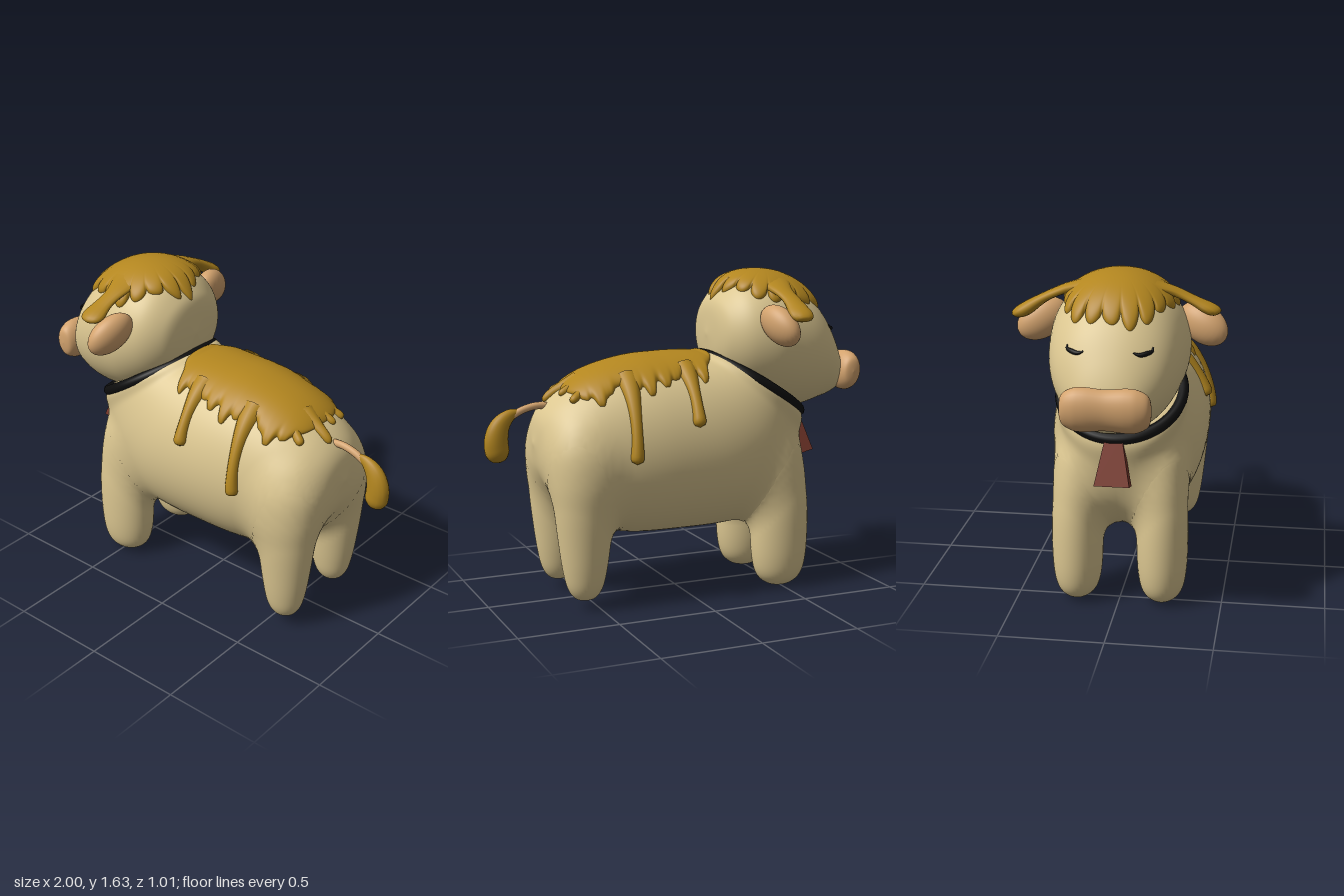
import * as THREE from 'three';
import { mergeVertices } from 'three/addons/utils/BufferGeometryUtils.js';

const material = (name, color) => Object.assign(new THREE.MeshStandardMaterial({ color }), { name });
const V = (x, y, z = 0) => new THREE.Vector3(x, y, z);

// Closed or open sheet from fn(u, v), smooth across its seams
function sheet(fn, nu, nv) {
  const pos = [], idx = [];
  for (let i = 0; i <= nu; i++) for (let j = 0; j <= nv; j++) pos.push(...fn(i / nu, j / nv).toArray());
  for (let i = 0; i < nu; i++) for (let j = 0; j < nv; j++) {
    const a = i * (nv + 1) + j, b = a + nv + 1;
    idx.push(a, a + 1, b, b, a + 1, b + 1);
  }
  let g = new THREE.BufferGeometry();
  g.setAttribute('position', new THREE.Float32BufferAttribute(pos, 3));
  g.setIndex(idx);
  g = mergeVertices(g, 1e-4);
  g.computeVertexNormals();
  return g;
}

// Loft through elliptical sections: [topX, topY, bottomX, bottomY, halfWidth]
function makeLoft(sections, power) {
  const curve = (f) => new THREE.CatmullRomCurve3(sections.map(f), false, 'catmullrom', 0.5);
  const top = curve((s) => V(s[0], s[1])), bottom = curve((s) => V(s[2], s[3])), width = curve((s) => V(s[4], 0));
  const at = (u, t) => {
    const a = top.getPoint(u), b = bottom.getPoint(u), s = Math.sin(t);
    const p = a.clone().add(b).multiplyScalar(0.5).addScaledVector(a.sub(b), Math.cos(t) / 2);
    p.z = Math.max(0, width.getPoint(u).x) * Math.sign(s) * Math.abs(s) ** power;
    return p;
  };
  // Surface point at a given x and angle from the top
  const atX = (x, t) => {
    let lo = 0, hi = 1;
    for (let i = 0; i < 22; i++) {
      const m = (lo + hi) / 2;
      if (at(m, t).x < x) lo = m; else hi = m;
    }
    return at(lo, t);
  };
  // The same, lifted off the surface
  const lifted = (x, t, d) => {
    const e = 0.01, p = atX(x, t);
    const du = atX(x + e, t).sub(atX(x - e, t)), dt = atX(x, t + e).sub(atX(x, t - e));
    return p.addScaledVector(dt.cross(du).normalize(), d);
  };
  return { lifted, geometry: sheet((u, v) => at(u, v * Math.PI * 2), 100, 72) };
}

// Swell a surface into its neighbours so that they join with a soft fillet of size k
function fillet(g, others, k) {
  const out = g.clone(), P = g.attributes.position, N = g.attributes.normal;
  const p = V(0, 0), n = V(0, 0), q = V(0, 0), m = V(0, 0);
  for (let i = 0; i < P.count; i++) {
    p.fromBufferAttribute(P, i);
    let w = 0;
    for (const o of others) {
      const a = o.attributes.position.array;
      let best = Infinity, at = 0;
      for (let j = 0; j < a.length; j += 3) {
        const d = (a[j] - p.x) ** 2 + (a[j + 1] - p.y) ** 2 + (a[j + 2] - p.z) ** 2;
        if (d < best) { best = d; at = j / 3; }
      }
      q.fromBufferAttribute(o.attributes.position, at);
      n.fromBufferAttribute(o.attributes.normal, at);
      const near = 1 - Math.max(Math.abs(q.sub(p).dot(n)), Math.sqrt(best) - 0.03) / k;
      if (near > w) { w = near; m.copy(n); }
    }
    if (w <= 0) continue;
    n.fromBufferAttribute(N, i).lerp(m, w / 2);
    p.addScaledVector(n, k / 4 * w * w / Math.max(0.3, n.lengthSq()));
    n.normalize();
    out.attributes.position.setXYZ(i, p.x, p.y, p.z);
    out.attributes.normal.setXYZ(i, n.x, n.y, n.z);
  }
  return out;
}

// Tube with a radius that varies along its length
function taperTube(points, radius, flatY = 1, n = 32, sides = 14) {
  const c = new THREE.CatmullRomCurve3(points);
  const g = new THREE.TubeGeometry(c, n, 1, sides, false), p = g.attributes.position;
  for (let i = 0; i <= n; i++) {
    const o = c.getPointAt(i / n), r = radius(i / n);
    for (let j = 0; j <= sides; j++) {
      const k = i * (sides + 1) + j;
      const d = V(p.getX(k), p.getY(k), p.getZ(k)).sub(o).multiplyScalar(r);
      p.setXYZ(k, o.x + d.x, o.y + d.y * flatY, o.z + d.z);
    }
  }
  g.deleteAttribute('uv');
  g.deleteAttribute('normal');
  const m = mergeVertices(g, 1e-4);
  m.computeVertexNormals();
  return m;
}
const roundEnd = (s, from) => (s < from ? 1 : Math.sqrt(Math.max(0, 1 - ((s - from) / (1 - from)) ** 2)));
const spline = (points) => new THREE.SplineCurve(points.map((p) => new THREE.Vector2(...p))).getPoints(56)
  .map((p) => p.setX(Math.max(0, p.x)));

export function createModel() {
  const group = new THREE.Group();
  group.name = 'animal';
  const cream = material('cream', 0xdcc791), caramel = material('caramel', 0xb3861f);
  caramel.side = THREE.DoubleSide;
  const tan = material('tan', 0xd3a36e), black = material('black', 0x0d0d0d), red = material('dark red', 0x7c3a2d);
  const add = (name, geometry, mat) => {
    const m = new THREE.Mesh(geometry, mat);
    m.name = name;
    group.add(m);
    return m;
  };

  // Torso and head
  const torso = makeLoft([
    [-0.45, 1.08, -0.45, 1.08, 0], [-0.2, 1.215, -0.665, 0.9, 0.28], [-0.1, 1.21, -0.665, 0.74, 0.315],
    [0, 1.21, -0.58, 0.5, 0.355], [0.1, 1.208, -0.35, 0.345, 0.38], [0.25, 1.198, 0.05, 0.32, 0.38],
    [0.42, 1.16, 0.35, 0.34, 0.355], [0.55, 1.105, 0.55, 0.44, 0.315], [0.66, 1.03, 0.67, 0.56, 0.25],
    [0.73, 0.94, 0.735, 0.67, 0.15], [0.757, 0.81, 0.757, 0.81, 0]], 0.9);
  const head = makeLoft([
    [-0.935, 1.09, -0.935, 1.09, 0], [-0.91, 1.19, -0.91, 1.0, 0.11], [-0.86, 1.3, -0.86, 0.967, 0.18],
    [-0.78, 1.43, -0.78, 0.945, 0.25], [-0.68, 1.535, -0.68, 0.92, 0.295], [-0.56, 1.595, -0.56, 0.92, 0.32],
    [-0.43, 1.61, -0.43, 0.95, 0.33], [-0.31, 1.585, -0.31, 1.02, 0.3], [-0.23, 1.52, -0.23, 1.1, 0.235],
    [-0.19, 1.45, -0.19, 1.18, 0.15], [-0.175, 1.31, -0.175, 1.31, 0]], 0.95);
  add('head', head.geometry, cream);

  // Legs, softly joined to the torso
  const leg = (points, x, z, flat) => new THREE.LatheGeometry(spline(points), 40).scale(1, 1, flat).translate(x, 0, z);
  const frontLeg = [[0, 0.005], [0.065, 0.016], [0.12, 0.065], [0.146, 0.16], [0.154, 0.32],
    [0.148, 0.48], [0.125, 0.62], [0.075, 0.73], [0, 0.77]];
  const backLeg = [[0, 0.05], [0.05, 0.06], [0.087, 0.11], [0.11, 0.2], [0.13, 0.34],
    [0.147, 0.5], [0.152, 0.64], [0.125, 0.78], [0.06, 0.87], [0, 0.89]];
  const legs = [1, -1].flatMap((s) => [leg(frontLeg, -0.5, 0.208 * s, 0.81), leg(backLeg, 0.565, 0.203 * s, 0.9)]);
  ['left front leg', 'left back leg', 'right front leg', 'right back leg'].forEach((name, i) =>
    add(name, fillet(legs[i], [torso.geometry], 0.12), cream));
  add('torso', fillet(torso.geometry, legs, 0.12), cream);

  // Glaze on the back: a sheet whose edge runs out into lobes [x, length, width]
  const lobes = [[-0.08, 0.24, 0.026], [-0.02, 0.06, 0.02], [0.07, 0.07, 0.022], [0.13, 0.16, 0.026],
    [0.215, 0.25, 0.027], [0.28, 0.13, 0.024], [0.415, 0.1, 0.024], [0.465, 0.26, 0.026], [0.53, 0.14, 0.024]];
  add('back glaze', sheet((u, v) => {
    const n = Math.sin((u - 0.5) * Math.PI), x = 0.225 + 0.385 * n, w = v * 2 - 1;
    const side = Math.sin(w * Math.PI / 2), shift = w > 0 ? 0 : 0.02;
    const edge = lobes.reduce((sum, [c, long, r]) => sum + long / (1 + ((x - c - shift) / r) ** 4), 0.58);
    const limit = edge * Math.max(0, 1 - n ** 8) ** 0.4;
    const lift = 0.03 * Math.sqrt(Math.max(0, (1 - side ** 8) * (1 - n ** 8))) - 0.005;
    return torso.lifted(x, side * limit, lift);
  }, 200, 36), caramel);

  // Long drips: [startX, startAngle, endX, endAngle, radius]
  const addDrip = ([x0, t0, x1, t1, r], s) => {
    const pts = [];
    for (let k = 0; k <= 8; k++) {
      const f = k / 8;
      pts.push(torso.lifted(x0 + (x1 - x0) * f, (t0 + (t1 - t0) * f) * s, 0.004 - 0.035 * (1 - f) ** 2));
    }
    const from = 1 - Math.min(0.5, r / Math.abs(t1 - t0) / 0.4);
    const width = (f) => r * (1 + 0.8 * (1 - f) ** 2 - 0.4 * Math.sin(f * Math.PI)) * roundEnd(f, from);
    add('back drip', taperTube(pts, width), caramel);
  };
  for (const s of [1, -1]) {
    addDrip([0.02, 0.45, 0.025, 1.27, 0.038], s);
    addDrip([0.33, 0.45, 0.35, 1.6, 0.037], s);
    addDrip([0.52, 0.35, 0.61, 0.58, 0.03], s);
  }
  addDrip([0.54, 0.05, 0.685, 0.14, 0.036], 1);
  addDrip([0.54, 0.12, 0.635, 0.2, 0.03], -1);

  // Glaze cap on the head with a dripping rim
  add('head glaze', sheet((u, v) => {
    const s = Math.sin(u * Math.PI / 2), a = v * Math.PI * 2;
    const lobe = Math.sqrt(Math.abs(Math.cos(9 * a))) * (0.055 + 0.018 * Math.sin(5 * a + 1));
    const rim = 0.23 + lobe - 0.01 * Math.cos(a);
    const lift = 0.034 * Math.sqrt(Math.max(0, 1 - s ** 8)) - 0.006;
    return head.lifted(-0.49 + s * rim * Math.cos(a), s * rim * 3.25 * Math.sin(a), lift);
  }, 28, 252), caramel);

  for (const s of [1, -1]) {
    const side = s > 0 ? 'left ' : 'right ';
    // Ear, swept forward, with a tongue of glaze over it
    const ear = add(side + 'ear', new THREE.SphereGeometry(1, 32, 24), tan);
    ear.scale.set(0.068, 0.09, 0.13);
    ear.position.set(-0.4, 1.375, 0.382 * s);
    ear.rotation.set(0.55 * s, -0.3 * s, 0);
    const reach = s > 0 ? 0 : 0.04;
    add(side + 'ear glaze', taperTube(
      [V(-0.48, 1.565, 0.15 * s), V(-0.47, 1.54, 0.25 * s), V(-0.475, 1.493, 0.36 * s), V(-0.475, 1.44 - reach, (0.46 + reach) * s)],
      (f) => (0.092 - 0.04 * Math.sin(f * Math.PI) - 0.008 * f) * roundEnd(f, 0.75), 0.32), caramel);
    // Closed eye
    const lid = [[-0.826, 0.52], [-0.822, 0.66], [-0.806, 0.79], [-0.788, 0.87], [-0.778, 0.85]];
    add(side + 'closed eye', taperTube(lid.map(([x, t]) => head.lifted(x, t * s, 0.002)),
      (f) => 0.003 + 0.008 * Math.sin(f * Math.PI)), black);
  }

  // Snout, slightly pinched in the middle
  const snoutProfile = spline([[0, -0.206], [0.065, -0.195], [0.097, -0.15], [0.104, -0.095], [0.096, 0],
    [0.104, 0.095], [0.097, 0.15], [0.065, 0.195], [0, 0.206]]);
  const snout = add('snout', new THREE.LatheGeometry(snoutProfile, 32).rotateX(Math.PI / 2).scale(0.66, 1, 1), tan);
  snout.position.set(-0.931, 1.098, 0);
  snout.rotation.z = 0.12;

  // Collar and its flared bell
  const ring = [];
  for (let k = 0; k < 32; k++) {
    const a = k / 32 * Math.PI * 2, c = Math.cos(a);
    ring.push(V(-0.423 + 0.254 * c, 1.043 + 0.16 * c, 0.291 * Math.sin(a)));
  }
  add('collar', new THREE.TubeGeometry(new THREE.CatmullRomCurve3(ring, true), 96, 0.028, 12, true), black);
  const bellShape = new THREE.CylinderGeometry(0.026, 0.056, 0.23, 4, 1).rotateY(Math.PI / 4).scale(1, 1, 2.1).toNonIndexed();
  bellShape.computeVertexNormals();
  const bell = add('bell', bellShape, red);
  bell.position.set(-0.699, 0.78, 0);
  bell.rotation.z = -0.24;

  // Tail and glazed tuft
  add('tail', taperTube([V(0.66, 0.99), V(0.73, 0.995), V(0.8, 0.98), V(0.88, 0.94)], () => 0.018), tan);
  const tuft = add('tail tuft', taperTube([V(0.81, 0.972), V(0.87, 0.955), V(0.92, 0.905), V(0.94, 0.83), V(0.925, 0.725)],
    (f) => (0.012 + 0.048 * Math.sin(Math.min(1, f * 1.35) * Math.PI / 2)) * roundEnd(f, 0.8)), caramel);
  tuft.scale.z = 0.75;
  return group;
}
